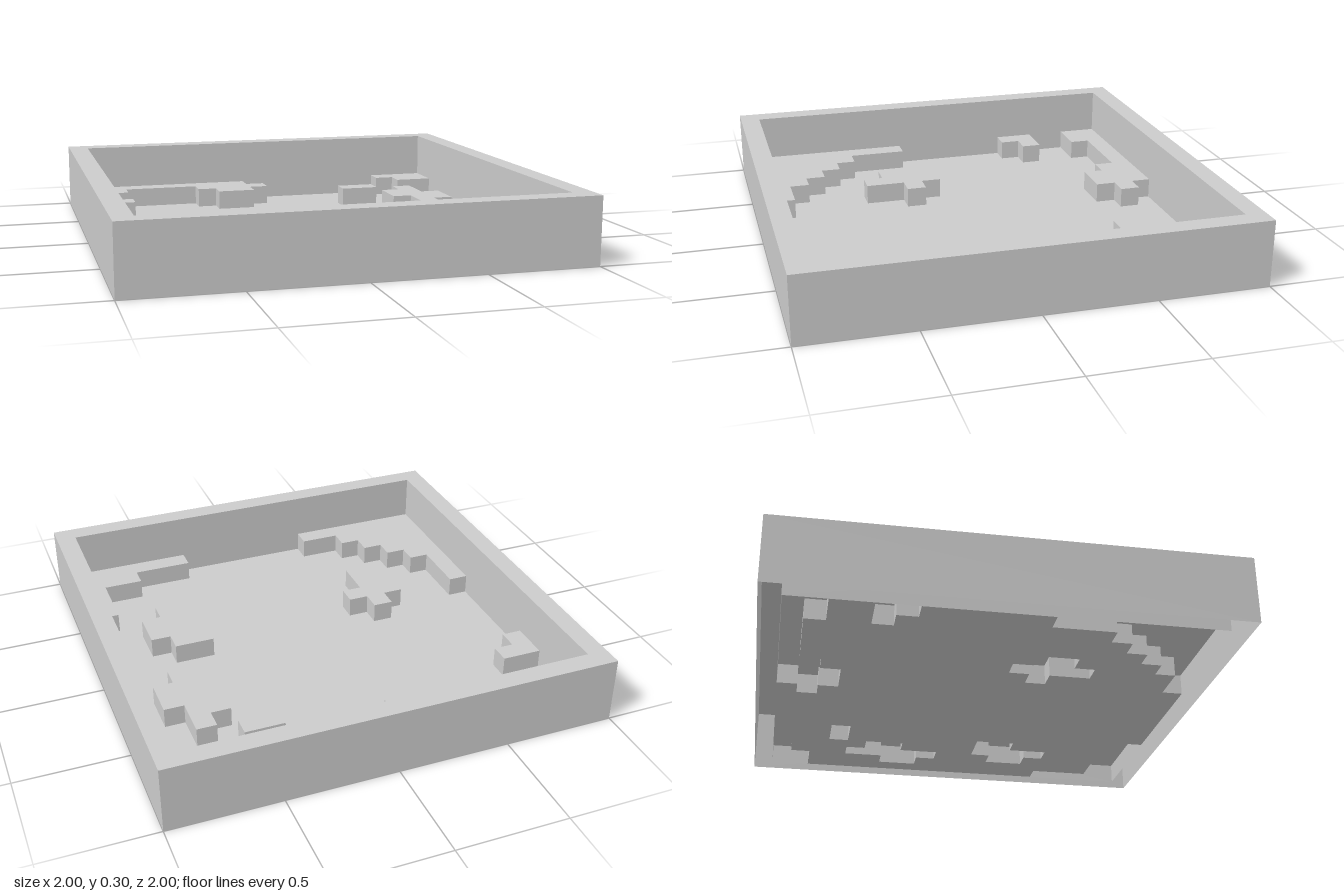
import * as THREE from 'three';

const U = 1 / 11;          // one grid cell
const WALL = 3.3;          // wall height in cells
const STEP = 1;            // raised block height in cells

const material = new THREE.MeshStandardMaterial({
  color: 0xcccccc, flatShading: true, side: THREE.DoubleSide,
});

const square = (r) => [[-r, -r], [r, -r], [r, r], [-r, r]];

// Horizontal sheet from an outline of [x, z] cells, with optional holes
function sheet(outline, height, holes = []) {
  const toPoints = (list) => list.map(([x, z]) => new THREE.Vector2(x * U, -z * U));
  const shape = new THREE.Shape(toPoints(outline));
  shape.holes = holes.map((h) => new THREE.Path(toPoints(h)));
  return new THREE.ShapeGeometry(shape).rotateX(-Math.PI / 2).translate(0, height * U, 0);
}

// Vertical band along a path; faces outward when the path runs clockwise seen from above
function band(path, height, closed) {
  const pos = [];
  const count = closed ? path.length : path.length - 1;
  for (let i = 0; i < count; i++) {
    const [ax, az] = path[i];
    const [bx, bz] = path[(i + 1) % path.length];
    const a0 = [ax, 0, az], a1 = [ax, height, az], b0 = [bx, 0, bz], b1 = [bx, height, bz];
    for (const p of [a0, a1, b1, a0, b1, b0]) pos.push(...p.map((v) => v * U));
  }
  const geo = new THREE.BufferGeometry();
  geo.setAttribute('position', new THREE.Float32BufferAttribute(pos, 3));
  geo.computeVertexNormals();
  return geo;
}

// Free-standing raised blocks
const islands = {
  smallBlock: [[4, -7], [6, -7], [6, -6], [4, -6]],
  rightBlock: [[7, -6], [8, -6], [8, -4], [9, -4], [9, -2], [8, -2], [8, -1], [7, -1],
    [7, -3], [6, -3], [6, -5], [7, -5]],
  frontLeftBlock: [[5, 1], [7, 1], [7, 2], [8, 2], [8, 4], [7, 4], [7, 5], [6, 5], [6, 3], [5, 3]],
  frontRightBlock: [[-5, 1], [-4, 1], [-4, 2], [-3, 2], [-3, 3], [-4, 3], [-4, 5], [-5, 5],
    [-5, 4], [-6, 4], [-6, 2], [-5, 2]],
};

// Raised ledges against the walls: stepped edge, plus the corner that closes each one
const ledges = {
  backLedge: { corner: [[-10, -10]], edge: [[-1, -10], [-1, -9], [0, -9], [0, -8], [-1, -8],
    [-1, -7], [-3, -7], [-3, -8], [-4, -8], [-4, -9], [-8, -9], [-8, -8], [-10, -8]] },
  sideLedge: { corner: [], edge: [[-10, -6], [-8, -6], [-8, -5], [-9, -5], [-9, -4], [-10, -4]] },
  frontRightLedge: { corner: [[-10, 10]], edge: [[-10, 2], [-9, 2], [-9, 5], [-8, 5], [-8, 6],
    [-7, 6], [-7, 7], [-6, 7], [-6, 8], [-5, 8], [-5, 9], [-3, 9], [-3, 10]] },
  frontLeftLedge: { corner: [[10, 10]], edge: [[4, 10], [4, 9], [7, 9], [7, 8], [9, 8], [9, 5], [10, 5]] },
  backLeftLedge: { corner: [[10, -10]], edge: [[10, -8], [8, -8], [8, -9], [7, -9], [7, -10]] },
};

export function createModel() {
  const model = new THREE.Group();
  model.name = 'walledArena';
  const add = (parent, name, geometry) => {
    const mesh = new THREE.Mesh(geometry, material);
    mesh.name = name;
    parent.add(mesh);
  };

  // Surrounding wall, open underneath
  const wall = new THREE.Group();
  wall.name = 'wall';
  add(wall, 'outerWall', band(square(11), WALL, true));
  add(wall, 'innerWall', band(square(10).reverse(), WALL, true));
  add(wall, 'wallRim', sheet(square(11), WALL, [square(10)]));
  model.add(wall);

  // Floor runs between the ledges and is cut out beneath the hollow blocks
  const floorOutline = Object.values(ledges).flatMap((l) => l.edge);
  add(model, 'floor', sheet(floorOutline, 0, Object.values(islands)));

  // Hollow raised blocks and ledges
  const addRaised = (name, outline, edge, closed) => {
    const group = new THREE.Group();
    group.name = name;
    add(group, name + 'Top', sheet(outline, STEP));
    add(group, name + 'Sides', band(edge, STEP, closed));
    model.add(group);
  };
  for (const [name, loop] of Object.entries(islands)) addRaised(name, loop, loop, true);
  for (const [name, { corner, edge }] of Object.entries(ledges)) {
    addRaised(name, [...edge, ...corner], edge, false);
  }
  return model;
}
